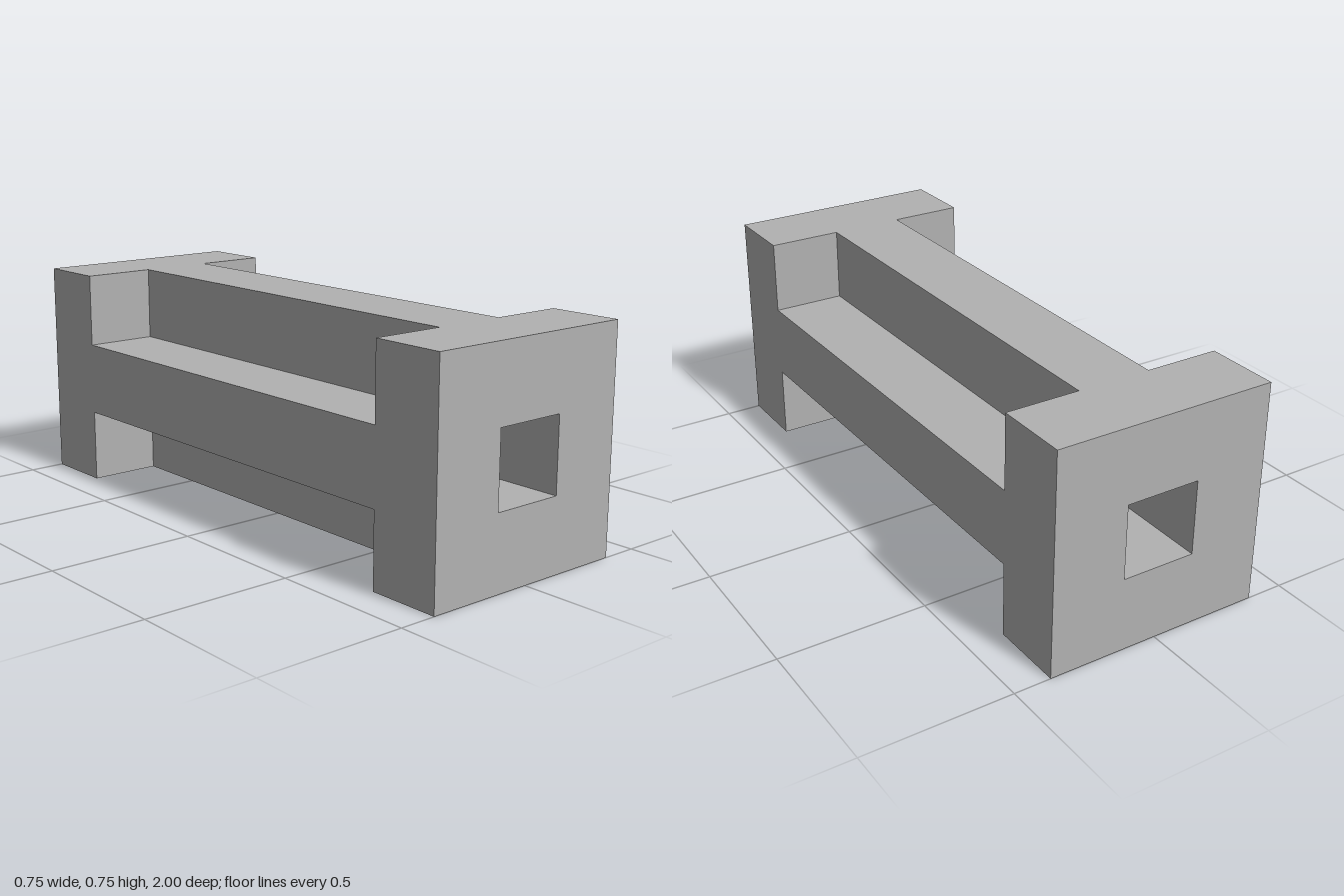
import * as THREE from 'three';

const SIZE = 0.75;      // width and height of the end blocks
const UNIT = SIZE / 3;  // wall thickness and tunnel width
const LENGTH = 2;

export function createModel() {
  const model = new THREE.Group();
  model.name = 'hollowBeam';
  const grey = new THREE.MeshStandardMaterial({ color: 0xb2b2b2 });
  grey.name = 'grey';

  // Square end block pierced by the square tunnel
  const half = SIZE / 2, h = UNIT / 2;
  const outline = new THREE.Shape([
    new THREE.Vector2(-half, -half), new THREE.Vector2(half, -half),
    new THREE.Vector2(half, half), new THREE.Vector2(-half, half),
  ]);
  outline.holes.push(new THREE.Path([
    new THREE.Vector2(-h, -h), new THREE.Vector2(-h, h),
    new THREE.Vector2(h, h), new THREE.Vector2(h, -h),
  ]));
  const blockGeometry = new THREE.ExtrudeGeometry(outline, { depth: UNIT, bevelEnabled: false });
  blockGeometry.translate(0, 0, -UNIT / 2);
  for (const [name, side] of [['frontBlock', 1], ['backBlock', -1]]) {
    const block = new THREE.Mesh(blockGeometry, grey);
    block.name = name;
    block.position.set(0, half, side * (LENGTH - UNIT) / 2);
    model.add(block);
  }

  // Four bars around the tunnel, forming a plus-shaped section
  const barGeometry = new THREE.BoxGeometry(UNIT, UNIT, LENGTH - 2 * UNIT);
  const bars = [['leftBar', 1, 0], ['rightBar', -1, 0], ['topBar', 0, 1], ['bottomBar', 0, -1]];
  for (const [name, x, y] of bars) {
    const bar = new THREE.Mesh(barGeometry, grey);
    bar.name = name;
    bar.position.set(x * UNIT, half + y * UNIT, 0);
    model.add(bar);
  }
  return model;
}
